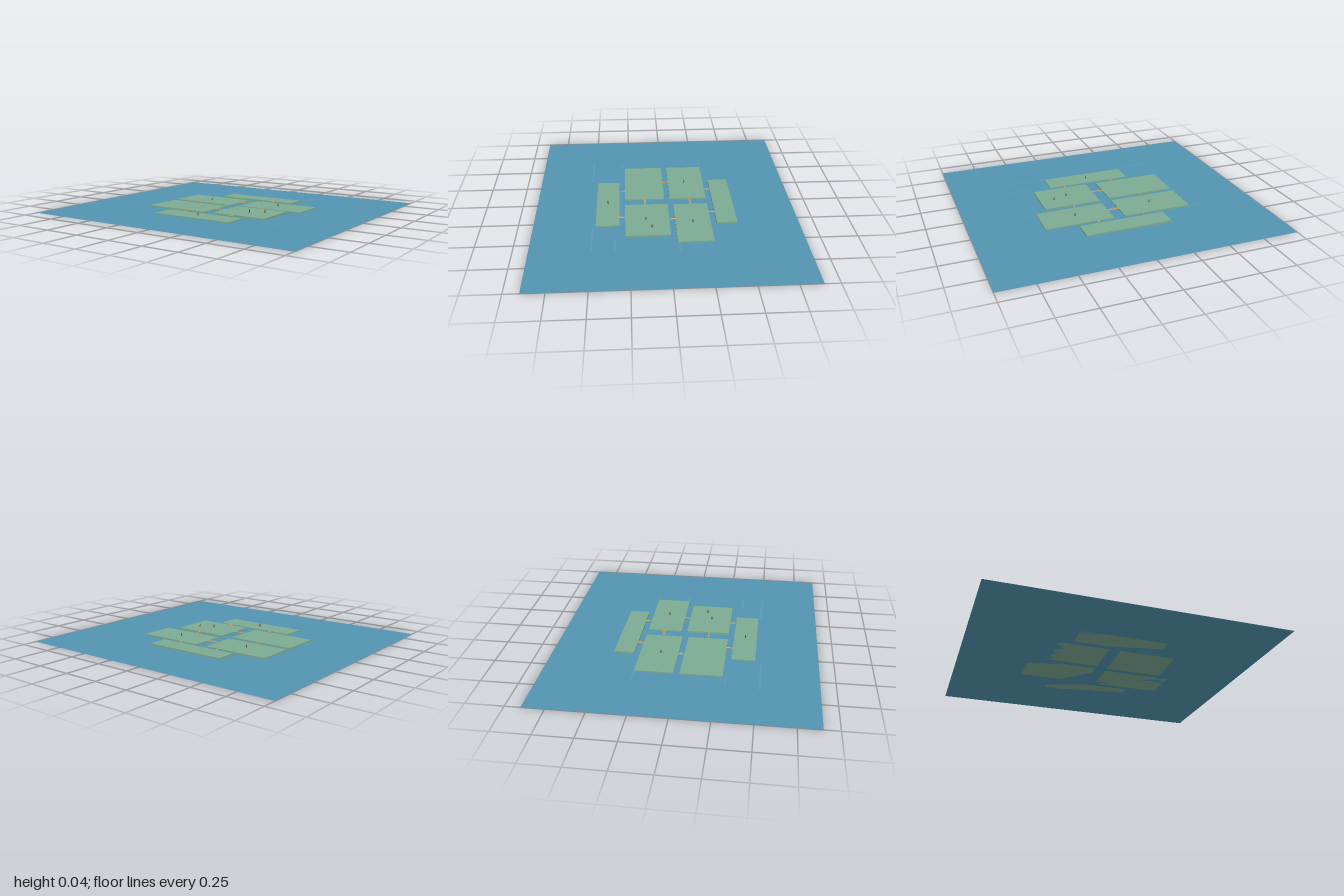
import * as THREE from 'three';

const mat = (color, side = THREE.FrontSide) => new THREE.MeshStandardMaterial({ color, side });

export function createModel() {
  const model = new THREE.Group();
  const green = mat(0x7caa92), wood = mat(0xc08a50), rope = mat(0xd8b878);
  const cloth = mat(0x5a4030), skin = mat(0x8a6048);

  const add = (parent, name, geometry, material, x, y, z) => {
    const mesh = new THREE.Mesh(geometry, material);
    mesh.name = name;
    mesh.position.set(x, y, z);
    parent.add(mesh);
    return mesh;
  };

  // Water sheet
  const sheet = new THREE.PlaneGeometry(2, 1.8).rotateX(-Math.PI / 2);
  add(model, 'water', sheet, mat(0x5294b0, THREE.DoubleSide), 0, 0, 0);

  // Faint ripples beside the islands: x, z, length
  const rippleMat = mat(0x5a9ab5);
  [
    [0.45, 0.5, 0.3], [-0.49, 0.52, 0.3], [0.53, 0.35, 0.16],
    [-0.56, 0.3, 0.08], [0.56, -0.07, 0.14], [-0.57, -0.3, 0.1],
  ].forEach(([x, z, length]) => {
    const strip = new THREE.PlaneGeometry(length, 0.012).rotateX(-Math.PI / 2);
    add(model, 'ripple', strip, rippleMat, x, 0.001, z);
  });

  // Floating islands: x range, z range, top height
  [
    [-0.3, 0.3, -0.48, -0.34, 0.013],
    [-0.52, -0.04, -0.3, -0.04, 0.01],
    [0.04, 0.52, -0.3, -0.06, 0.01],
    [-0.52, -0.04, 0, 0.28, 0.01],
    [0.04, 0.44, -0.02, 0.28, 0.014],
    [-0.3, 0.3, 0.32, 0.48, 0.008],
  ].forEach(([x0, x1, z0, z1, top]) => {
    const slab = new THREE.BoxGeometry(x1 - x0, top, z1 - z0);
    add(model, 'island', slab, green, (x0 + x1) / 2, top / 2, (z0 + z1) / 2);
  });

  // Footbridges: centre x, centre z, length, width, turned along x
  [
    [-0.16, -0.32, 0.044, 0.008, false],
    [0.16, -0.32, 0.044, 0.008, false],
    [0, -0.18, 0.08, 0.014, true],
    [-0.28, -0.02, 0.044, 0.01, false],
    [0.24, -0.04, 0.044, 0.008, false],
    [0, 0.14, 0.08, 0.008, true],
    [-0.16, 0.3, 0.044, 0.01, false],
    [0.2, 0.3, 0.044, 0.014, false],
  ].forEach(([x, z, length, width, alongX]) => {
    const bridge = new THREE.Group();
    bridge.name = 'footbridge';
    add(bridge, 'plank', new THREE.BoxGeometry(width, 0.003, length), wood, 0, 0, 0);
    for (const side of [-1, 1]) {
      add(bridge, 'edgeRope', new THREE.BoxGeometry(0.002, 0.003, length), rope,
        side * (width / 2 - 0.001), 0.002, 0);
    }
    bridge.position.set(x, 0.0105, z);
    if (alongX) bridge.rotation.y = Math.PI / 2;
    model.add(bridge);
  });

  // Small standing figures: x, z, height of the ground below
  [
    [-0.28, -0.16, 0.01], [0.28, -0.18, 0.01], [0.24, 0.14, 0.014],
    [0.34, 0.1, 0.014], [0, 0.4, 0.008],
  ].forEach(([x, z, ground]) => {
    const figure = new THREE.Group();
    figure.name = 'figure';
    add(figure, 'body', new THREE.CylinderGeometry(0.003, 0.004, 0.016, 8), cloth, 0, 0.008, 0);
    add(figure, 'head', new THREE.SphereGeometry(0.0035, 8, 6), skin, 0, 0.0185, 0);
    figure.position.set(x, ground, z);
    model.add(figure);
  });

  return model;
}
